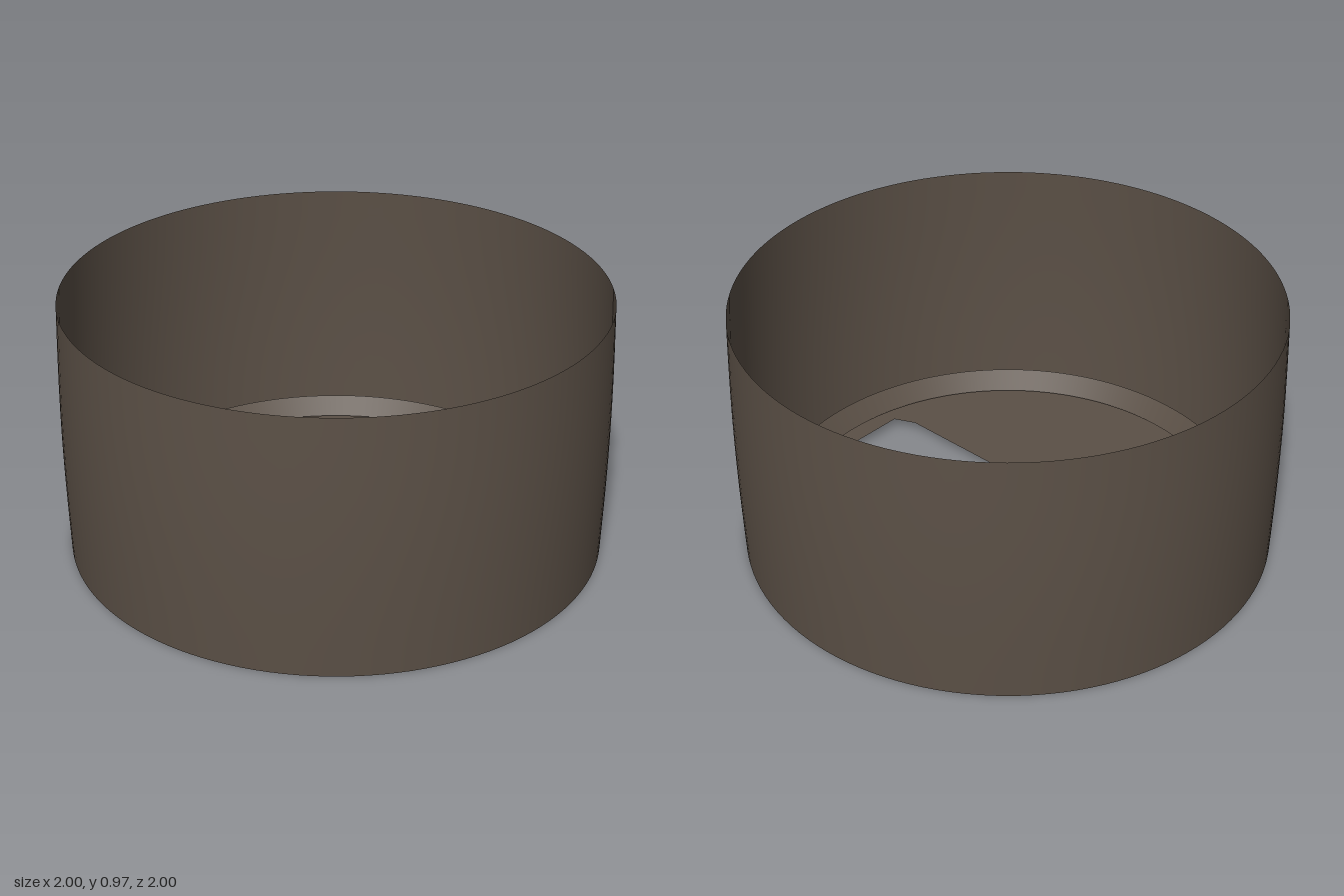
import * as THREE from 'three';

const SEGMENTS = 128;

export function createModel() {
  const group = new THREE.Group();
  group.name = 'slottedDrum';
  const material = new THREE.MeshStandardMaterial({ color: 0x5b5046, side: THREE.DoubleSide });
  material.name = 'dark taupe';

  const add = (name, geometry) => {
    const mesh = new THREE.Mesh(geometry, material);
    mesh.name = name;
    group.add(mesh);
    return mesh;
  };

  // Outer wall: open sheet, bulging slightly at mid height
  const height = 0.97;
  const wall = [];
  for (let i = 0; i <= 10; i++) {
    const t = i / 10;
    wall.push(new THREE.Vector2(0.99 + 0.01 * Math.sin(Math.PI * t), height * t));
  }
  add('outerWall', new THREE.LatheGeometry(wall, SEGMENTS));

  // Sloped ring around the base plate, wider at the top
  add('slopedRing', new THREE.LatheGeometry(
    [new THREE.Vector2(0.838, 0), new THREE.Vector2(0.902, 0.1)], SEGMENTS));

  // Base plate with a long slot that has chamfered corners
  const plate = new THREE.Shape().absarc(0, 0, 0.835, 0, Math.PI * 2, false);
  const slot = [[0.76, 0.15], [0.68, 0.187], [-0.68, 0.187], [-0.76, 0.15],
    [-0.76, -0.15], [-0.68, -0.187], [0.68, -0.187], [0.76, -0.15]];
  plate.holes.push(new THREE.Path(slot.map(([x, y]) => new THREE.Vector2(x, y))));
  const base = add('slottedBase', new THREE.ShapeGeometry(plate, SEGMENTS));
  base.rotation.x = -Math.PI / 2;
  base.position.y = 0.04;

  return group;
}
